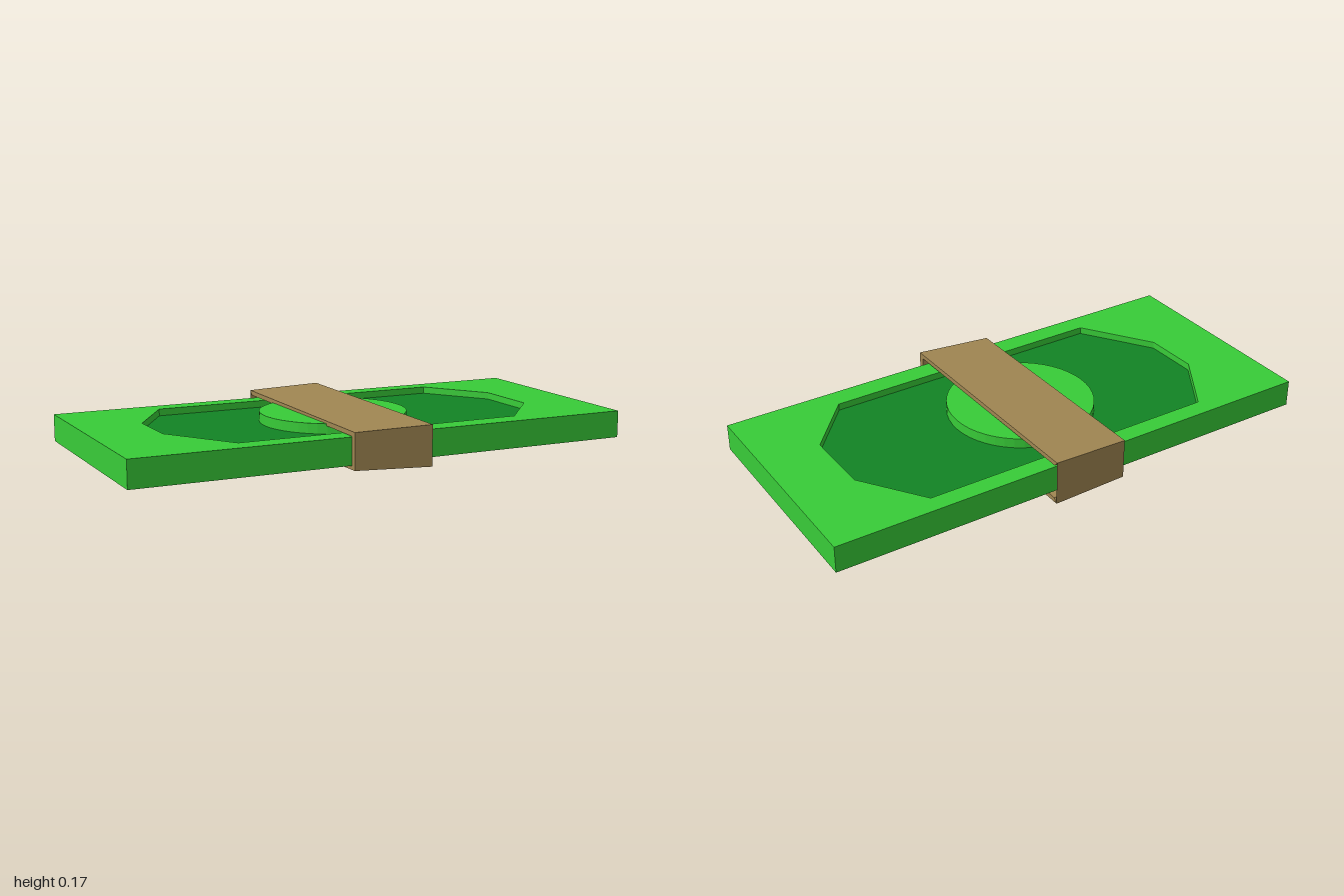
import * as THREE from 'three';

const LIGHT = 0x38cc38, DARK = 0x128424, PAPER = 0xa08652;

function polygon(points) {
  return new THREE.Shape(points.map(([a, b]) => new THREE.Vector2(a, b)));
}

// Apply a rule to every vertex, then refresh the normals
function reshape(geometry, rule) {
  const p = geometry.attributes.position;
  const v = new THREE.Vector3();
  for (let i = 0; i < p.count; i++) {
    v.fromBufferAttribute(p, i);
    rule(v);
    p.setXYZ(i, v.x, v.y, v.z);
  }
  geometry.computeVertexNormals();
  return geometry;
}

// Extrude an (x, z) outline vertically between two heights, with a slight lean
function layer(shape, bottom, top) {
  const g = new THREE.ExtrudeGeometry(shape, { depth: top - bottom, bevelEnabled: false, curveSegments: 24 });
  g.rotateX(Math.PI / 2);
  g.translate(0, top, 0);
  return reshape(g, (v) => { v.y += -0.004 * v.x + 0.008 * v.z; });
}

export function createModel() {
  const group = new THREE.Group();
  const add = (name, geometry, color, side = THREE.FrontSide) => {
    const mesh = new THREE.Mesh(geometry, new THREE.MeshStandardMaterial({ color, side, flatShading: true }));
    mesh.name = name;
    group.add(mesh);
  };

  // Stack of notes: a frame with an eight-sided opening
  const octagon = [
    [-0.6, -0.39], [0.59, -0.385], [0.76, -0.14], [0.76, 0.13],
    [0.57, 0.35], [-0.57, 0.35], [-0.75, 0.08], [-0.755, -0.14],
  ];
  const frame = polygon([[-1, -0.465], [1, -0.455], [0.992, 0.44], [-1, 0.43]]);
  frame.holes.push(new THREE.Path(polygon(octagon).getPoints()));
  add('noteStack', layer(frame, 0.041, 0.146), LIGHT);

  // Sunken dark panel, visible from above and below
  add('sunkenPanel', layer(polygon(octagon), 0.067, 0.119), DARK);

  // Round medallion through the middle, standing proud on both faces
  const disc = new THREE.Shape().absarc(-0.025, -0.015, 0.285, 0, Math.PI * 2);
  add('medallion', layer(disc, 0.031, 0.158), LIGHT);

  // Paper band: the profile wraps the front, top and bottom
  const warp = (v) => {
    const d = v.x - 0.13;
    v.y += v.y > 0.1 ? 0.025 * d : -0.03 * d;
    if (v.z > 0) v.z += 0.1 * d;
  };
  const profile = polygon([
    [-0.488, 0.022], [0.49, 0.003], [0.475, 0.021], [-0.464, 0.037],
    [-0.464, 0.16], [0.475, 0.16], [0.49, 0.178], [-0.488, 0.178],
  ]);
  const band = new THREE.ExtrudeGeometry(profile, { depth: 0.3, bevelEnabled: false });
  band.rotateY(Math.PI / 2);
  band.translate(-0.17, 0, 0);
  add('paperBand', reshape(band, warp), PAPER);

  // Thin back closure of the band
  const back = new THREE.PlaneGeometry(0.3, 0.175);
  back.rotateY(Math.PI);
  back.translate(-0.02, 0.0905, -0.49);
  add('bandBack', reshape(back, warp), PAPER, THREE.DoubleSide);

  return group;
}
